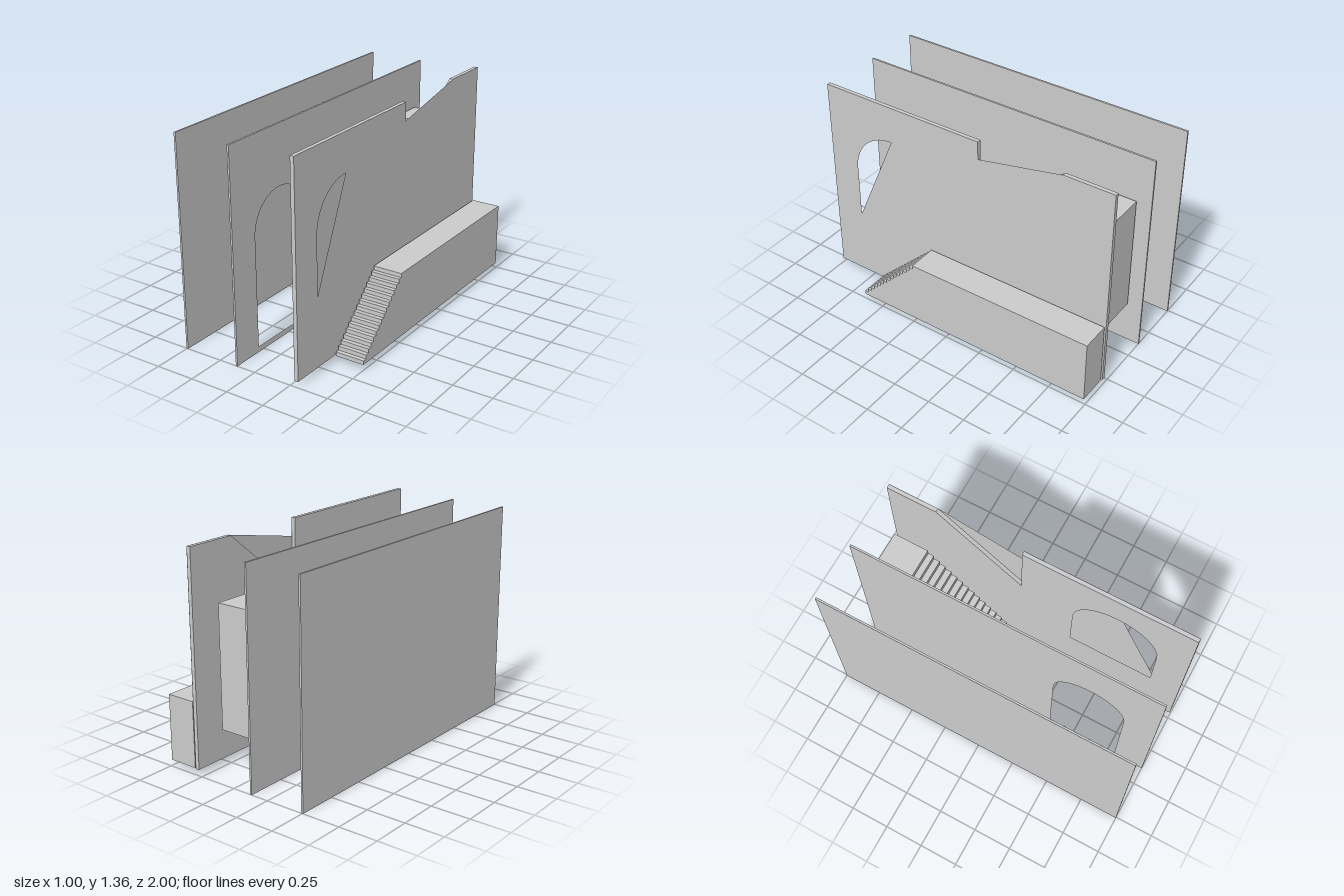
import * as THREE from 'three';

const grey = new THREE.MeshStandardMaterial({ color: 0xcccccc, flatShading: true });
const sheet = new THREE.MeshStandardMaterial({ color: 0xcccccc, side: THREE.DoubleSide });

// Profiles are given as [z, y] points; shape space uses u = -z so a quarter turn maps depth to +x.
const toPoints = (pts) => pts.map(([z, y]) => new THREE.Vector2(-z, y));

// Semicircular arc as [z, y] points, from the front spring point towards the back
function arc(zc, y, r, end = Math.PI, n = 20) {
  return Array.from({ length: n + 1 }, (_, i) => {
    const a = (end * i) / n;
    return [zc + r * Math.cos(a), y + r * Math.sin(a)];
  });
}

function makeShape(outline, holes) {
  const shape = new THREE.Shape(toPoints(outline));
  holes.forEach((h) => shape.holes.push(new THREE.Path(toPoints(h))));
  return shape;
}

// Slab with a z-y outline reaching from x0 to x1
function slab(name, x0, x1, outline, holes = []) {
  const geo = new THREE.ExtrudeGeometry(makeShape(outline, holes), { depth: x1 - x0, bevelEnabled: false });
  geo.rotateY(Math.PI / 2).translate(x0, 0, 0);
  const mesh = new THREE.Mesh(geo, grey);
  mesh.name = name;
  return mesh;
}

// Solid stair climbing towards -z, ending in a flat landing
function stairs(name, x0, x1, { base, startY, topY, startZ, landingZ, backZ, steps }) {
  const pts = [[backZ, base], [startZ, base]];
  if (startY > base) pts.push([startZ, startY]);
  const dy = (topY - startY) / steps;
  const dz = (landingZ - startZ) / steps;
  // a raised stair begins with a tread, a grounded one with a riser
  const lead = startY > base ? 1 : 0;
  for (let i = 0; i < steps; i++) {
    const z = startZ + dz * (lead ? i + 1 : i * steps / (steps - 1));
    pts.push([z, startY + dy * i], [z, startY + dy * (i + 1)]);
  }
  pts.push([backZ, topY]);
  const clean = pts.filter((p, i) => i === 0 || Math.hypot(p[0] - pts[i - 1][0], p[1] - pts[i - 1][1]) > 1e-5);
  return slab(name, x0, x1, clean);
}

export function createModel() {
  const group = new THREE.Group();

  // Plain wall and wall with an arched doorway
  const rect = [[1, 0], [1, 1.34], [-1, 1.34], [-1, 0]];
  const door = [[0.8, 0.035], ...arc(0.565, 0.73, 0.235), [0.33, 0.035]];
  group.add(slab('plainWall', -0.505, -0.493, rect));
  group.add(slab('doorwayWall', -0.135, -0.123, rect, [door]));

  // Stair wall: deep notch and arched window through the core
  const notched = (depthY) => [
    [0.995, 0.035], [0.995, 1.36], [-0.11, 1.36], [-0.11, depthY], [-0.67, 1.36], [-0.995, 1.36], [-0.995, 0.035],
  ];
  const window = [[0.8, 0.48], ...arc(0.52, 0.84, 0.28), [0.24, 0.48]];
  group.add(slab('stairWall', 0.276, 0.301, notched(0.91), [window]));

  // Outer facing of the stair wall, leaving a half arch and a shallow notch open
  const halfArch = [[0.8, 0.48], ...arc(0.52, 0.84, 0.28, Math.PI / 2, 10)];
  const facing = new THREE.Mesh(new THREE.ShapeGeometry(makeShape(notched(1.245), [halfArch])), sheet);
  facing.geometry.rotateY(Math.PI / 2).translate(0.302, 0, 0);
  facing.name = 'stairWallFacing';
  group.add(facing);

  // Inner raised stair and outer ground stair
  group.add(stairs('innerStairs', -0.11, 0.16, {
    base: 0.287, startY: 0.49, topY: 1.043, startZ: -0.11, landingZ: -0.68, backZ: -0.91, steps: 15,
  }));
  group.add(stairs('outerStairs', 0.311, 0.5, {
    base: 0.035, startY: 0.035, topY: 0.448, startZ: 0.64, landingZ: 0.24, backZ: -0.99, steps: 16,
  }));
  return group;
}
